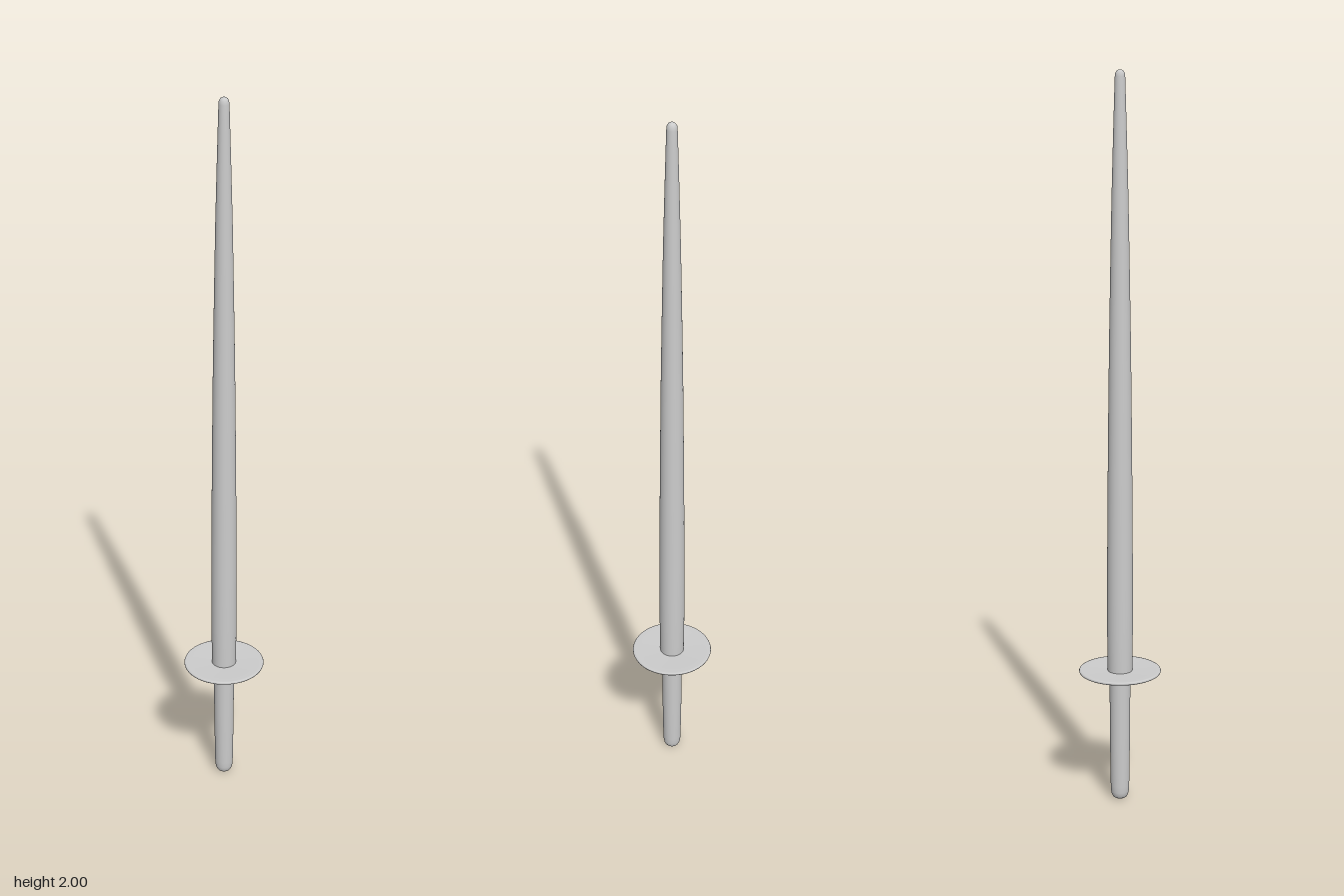
import * as THREE from 'three';

const material = new THREE.MeshStandardMaterial({ color: 0xcccccc });

// Turns a bottom-to-top list of [radius, height] pairs around the y axis
function turned(name, profile) {
  const points = profile.map(([r, y]) => new THREE.Vector2(r, y));
  const mesh = new THREE.Mesh(new THREE.LatheGeometry(points, 48), material);
  mesh.name = name;
  return mesh;
}

export function createModel() {
  const group = new THREE.Group();
  group.name = 'trainingSword';

  // Round handle with a softened butt
  group.add(turned('handle', [
    [0, 0], [0.012, 0.001], [0.019, 0.005], [0.023, 0.012], [0.025, 0.022], [0.026, 0.04],
    [0.028, 0.18], [0.029, 0.37],
  ]));

  // Dished disc guard: shallow cone below, thin rounded rim, flat top
  group.add(turned('guard', [
    [0.025, 0.35], [0.034, 0.356], [0.06, 0.363], [0.09, 0.369], [0.109, 0.373],
    [0.1125, 0.375], [0.1135, 0.378], [0.112, 0.381], [0.108, 0.382], [0.09, 0.381], [0.03, 0.379],
  ]));

  // Long tapering blade with a rounded tip
  group.add(turned('blade', [
    [0.034, 0.37], [0.0355, 0.5], [0.035, 0.7], [0.0335, 0.9], [0.0315, 1.1], [0.029, 1.3],
    [0.0255, 1.5], [0.022, 1.68], [0.018, 1.83], [0.0145, 1.95], [0.0135, 1.982],
    [0.0125, 1.991], [0.009, 1.997], [0.005, 1.9995], [0, 2],
  ]));

  return group;
}
